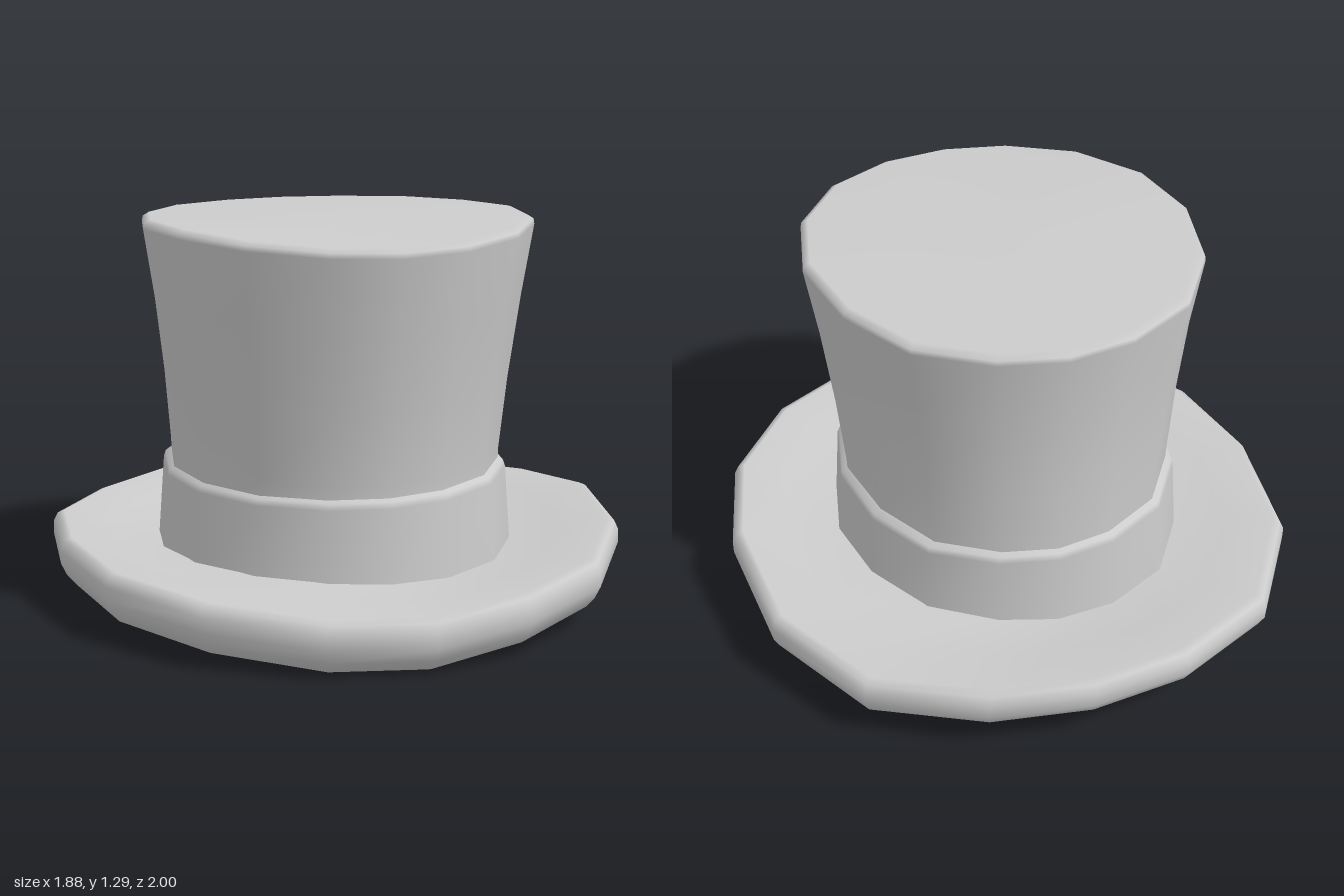
import * as THREE from 'three';

// Hand-shaped 16-sided oval [x, z], starting at the front and running round by the left side
const OVAL = [
  [0.04, 0.995], [0.36, 0.92], [0.67, 0.7], [0.88, 0.355],
  [0.94, -0.04], [0.87, -0.45], [0.635, -0.785], [0.28, -0.955],
  [-0.05, -1], [-0.38, -0.93], [-0.72, -0.725], [-0.92, -0.38],
  [-0.94, 0.04], [-0.845, 0.43], [-0.61, 0.755], [-0.28, 0.945],
];
// Height of the wavy brim edge at each corner
const EDGE = [0.172, 0.203, 0.226, 0.264, 0.292, 0.258, 0.238, 0.26,
  0.275, 0.258, 0.222, 0.228, 0.236, 0.218, 0.2, 0.174];
const N = OVAL.length;

// Ring of points: half widths rx, rz, centre cx, cz, a height rule and narrowing at the back
function ring(rx, rz, cx, cz, height, narrow = 0) {
  return OVAL.map(([x, z], i) => {
    const u = x / 0.94, v = z / 0.997;
    const pinch = 1 - narrow * Math.min(1, Math.max(0, -2 * v));
    return [cx + u * rx * pinch, height(u, v, i), cz + v * rz];
  });
}

// Smooth skin through rings from bottom to top, with optional caps at a centre height
function loft(rings, bottomY, topY) {
  const pos = rings.flat(2), idx = [];
  for (let r = 0; r < rings.length - 1; r++) {
    for (let i = 0; i < N; i++) {
      const j = (i + 1) % N;
      const a = r * N + i, b = r * N + j, c = b + N, d = a + N;
      idx.push(a, b, c, a, c, d);
    }
  }
  const cap = (r, y, up) => {
    const centre = pos.length / 3;
    const mean = (k) => rings[r].reduce((s, p) => s + p[k], 0) / N;
    pos.push(mean(0), y, mean(2));
    for (let i = 0; i < N; i++) {
      const a = r * N + i, b = r * N + ((i + 1) % N);
      if (up) idx.push(centre, a, b);
      else idx.push(centre, b, a);
    }
  };
  if (bottomY !== undefined) cap(0, bottomY, false);
  if (topY !== undefined) cap(rings.length - 1, topY, true);
  const geo = new THREE.BufferGeometry();
  geo.setAttribute('position', new THREE.Float32BufferAttribute(pos, 3));
  geo.setIndex(idx);
  geo.computeVertexNormals();
  return geo;
}

export function createModel() {
  const hat = new THREE.Group();
  hat.name = 'topHat';
  const felt = new THREE.MeshStandardMaterial({ color: 0xcccccc });
  felt.name = 'light grey felt';
  const add = (name, geo) => {
    const mesh = new THREE.Mesh(geo, felt);
    mesh.name = name;
    hat.add(mesh);
  };

  // Brim: rounded wavy edge, dished top, flat underside; [scale, drop from edge, blend to inner height]
  const inner = (u, v) => 0.193 + 0.015 * u - 0.01 * v - 0.04 * u * v;
  const brimProfile = [
    [0.915, 0.172, 0], [0.95, 0.158, 0], [0.98, 0.125, 0], [1, 0.085, 0],
    [1, 0.04, 0], [0.985, 0.01, 0], [0.96, 0, 0], [0.8, 0, 0.47], [0.61, 0, 1], [0.5, 0, 1],
  ];
  add('brim', loft(brimProfile.map(([s, drop, mix]) =>
    ring(0.94 * s, 0.997 * s, 0, 0,
      (u, v, i) => THREE.MathUtils.lerp(EDGE[i], inner(u, v), mix) - drop)), 0.053));

  // Band: short sleeve with a bevelled upper edge, slightly tilted; [rx, rz, base height]
  const tilt = (u, v) => 0.008 * u - 0.018 * v;
  const bandProfile = [
    [0.592, 0.63, 0.14], [0.569, 0.62, 0.435], [0.562, 0.612, 0.455], [0.535, 0.58, 0.47],
  ];
  add('band', loft(bandProfile.map(([rx, rz, y]) =>
    ring(rx, rz, -0.013, 0.01, (u, v) => y + tilt(u, v), 0.04))));

  // Crown: flares upward and forward, the rim dips at the front; [rx, rz, cz, height, dip share]
  const dip = (u, v) => 0.008 * u - 0.055 * Math.max(0, v) ** 2 + 0.006 * Math.max(0, -v);
  const crownProfile = [
    [0.545, 0.594, 0.01, 0.42, 0], [0.548, 0.596, 0.01, 0.5, 0],
    [0.569, 0.614, 0.025, 0.74, 0.3], [0.602, 0.647, 0.04, 1.01, 0.6],
    [0.639, 0.683, 0.046, 1.245, 1], [0.636, 0.681, 0.046, 1.262, 1], [0.615, 0.66, 0.046, 1.275, 1],
  ];
  add('crown', loft(crownProfile.map(([rx, rz, cz, y, t]) =>
    ring(rx, rz, -0.015, cz, (u, v) =>
      y + THREE.MathUtils.lerp(tilt(u, v), dip(u, v), t), 0.055)), undefined, 1.262));

  return hat;
}
